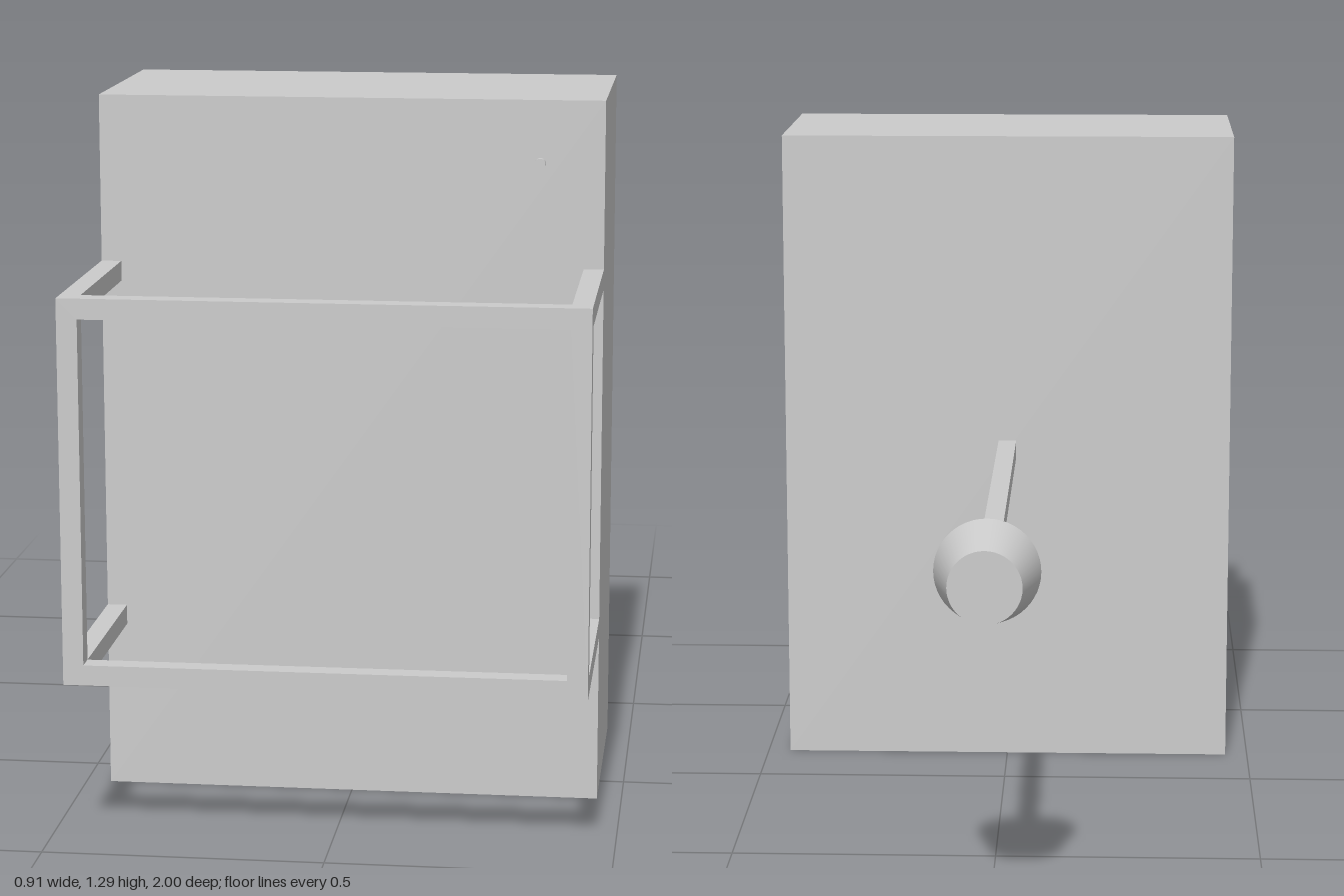
import * as THREE from 'three';

const material = new THREE.MeshStandardMaterial({ color: 0xcccccc });

function add(parent, name, geometry, x, y, z) {
  const mesh = new THREE.Mesh(geometry, material);
  mesh.name = name;
  mesh.position.set(x, y, z);
  parent.add(mesh);
  return mesh;
}

export function createModel() {
  const model = new THREE.Group();
  model.name = 'model';

  const halfWidth = 0.455, height = 1.29;
  const bodyBack = 0.167, bodyFront = 0.602;
  const bar = 0.036;

  // Main cabinet
  const depth = bodyFront - bodyBack;
  add(model, 'body', new THREE.BoxGeometry(halfWidth * 2, height, depth), 0, height / 2, bodyBack + depth / 2);

  // Small round button on the front, upper corner
  add(model, 'button', new THREE.CylinderGeometry(0.01, 0.01, 0.013, 24), 0.34, 1.177, bodyFront + 0.0065)
    .rotation.x = Math.PI / 2;

  // Rectangular front frame, cut from one plate
  const bottom = 0.307, top = 0.988;
  const frame = new THREE.Group();
  frame.name = 'frontFrame';
  model.add(frame);
  const rectangle = (Type, inset) => new Type([
    new THREE.Vector2(-halfWidth + inset, bottom + inset),
    new THREE.Vector2(halfWidth - inset, bottom + inset),
    new THREE.Vector2(halfWidth - inset, top - inset),
    new THREE.Vector2(-halfWidth + inset, top - inset),
  ]);
  const outline = rectangle(THREE.Shape, 0);
  outline.holes.push(rectangle(THREE.Path, bar));
  add(frame, 'frameRim', new THREE.ExtrudeGeometry(outline, { depth: bar, bevelEnabled: false }), 0, 0, 1 - bar);

  // Four arms joining the frame corners to the cabinet
  const armLength = 1 - bar - bodyFront;
  for (const x of [-1, 1]) {
    for (const y of [bottom + bar / 2, top - bar / 2]) {
      add(frame, 'frameArm', new THREE.BoxGeometry(bar, bar, armLength),
        x * (halfWidth - bar / 2), y, bodyFront + armLength / 2);
    }
  }

  // Square rod at the back, ending in a tapered knob
  const axisY = 0.648, knobFront = -0.88;
  const rodLength = bodyBack - knobFront;
  add(model, 'rearRod', new THREE.BoxGeometry(bar, bar, rodLength), 0, axisY, bodyBack - rodLength / 2);
  add(model, 'rearKnob', new THREE.CylinderGeometry(0.094, 0.065, 0.12, 48), 0, axisY, knobFront - 0.06)
    .rotation.x = Math.PI / 2;

  return model;
}
